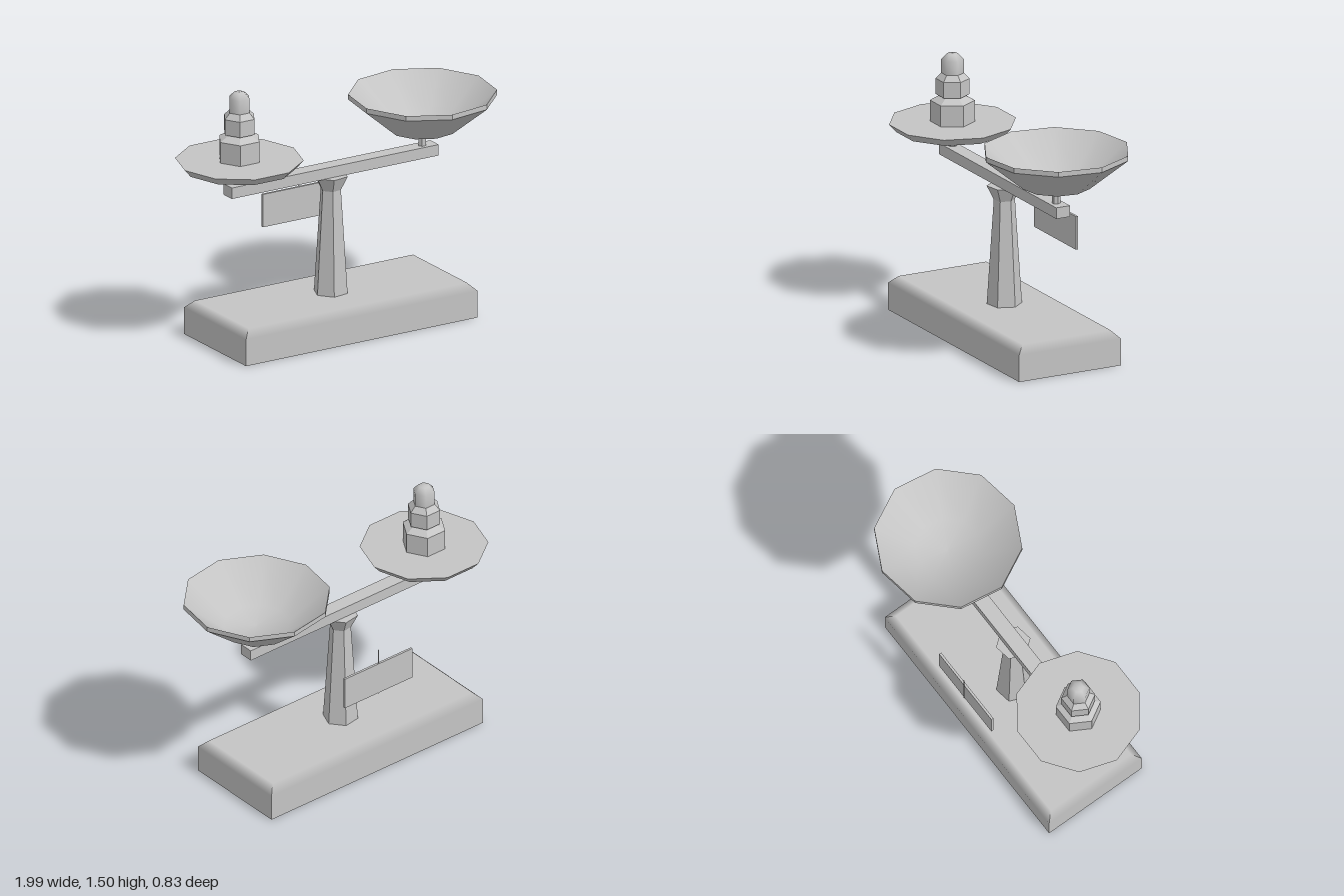
import * as THREE from 'three';

const grey = new THREE.MeshStandardMaterial({ color: 0xc4c4c4, side: THREE.DoubleSide });
grey.name = 'grey';

function add(group, name, geometry, x = 0, y = 0, z = 0) {
  const mesh = new THREE.Mesh(geometry, grey);
  mesh.name = name;
  mesh.position.set(x, y, z);
  group.add(mesh);
  return mesh;
}

// Turned solid from a profile of [radius, height], first corner at the given angle from +x
function turned(profile, sides, degrees = 0, flat = true) {
  const points = profile.map(([r, y]) => new THREE.Vector2(r, y));
  const start = THREE.MathUtils.degToRad(90 - degrees);
  const geometry = new THREE.LatheGeometry(points, sides, start, Math.PI * 2);
  if (!flat) return geometry;
  const faceted = geometry.toNonIndexed();
  faceted.computeVertexNormals();
  return faceted;
}

// Box whose upper edges are bevelled, with the bevel shaded as a round edge
function bevelledBlock(hx, height, hz, bevel) {
  const positions = [], normals = [];
  const quad = (corners, ns) => [0, 1, 2, 0, 2, 3].forEach(i => {
    positions.push(...corners[i]);
    normals.push(...ns[i]);
  });
  const ring = (x, y, z) => [[-x, y, z], [x, y, z], [x, y, -z], [-x, y, -z]];
  const low = ring(hx, 0, hz);
  const mid = ring(hx, height - bevel, hz);
  const top = ring(hx - bevel, height, hz - bevel);
  const up = [0, 1, 0], down = [0, -1, 0];
  const sides = [[0, 0, 1], [1, 0, 0], [0, 0, -1], [-1, 0, 0]];
  sides.forEach((n, i) => {
    const j = (i + 1) % 4;
    quad([low[i], low[j], mid[j], mid[i]], [n, n, n, n]);
    quad([mid[i], mid[j], top[j], top[i]], [n, n, up, up]);
  });
  quad(top, [up, up, up, up]);
  quad([...low].reverse(), [down, down, down, down]);
  const geometry = new THREE.BufferGeometry();
  geometry.setAttribute('position', new THREE.Float32BufferAttribute(positions, 3));
  geometry.setAttribute('normal', new THREE.Float32BufferAttribute(normals, 3));
  return geometry;
}

export function createModel() {
  const model = new THREE.Group();
  model.name = 'balanceScale';
  const centre = -0.03, plateX = -0.638, bowlX = 0.58;

  // Base, post and beam
  add(model, 'base', bevelledBlock(0.77, 0.203, 0.325, 0.045), centre);
  add(model, 'post', turned([[0, 0.2], [0.1, 0.2], [0.06, 0.815], [0.1, 0.897], [0, 0.897]], 6, -9), centre);
  add(model, 'beam', new THREE.BoxGeometry(1.375, 0.065, 0.088), -0.028, 0.928, 0);

  // Pins carrying the two pans
  for (const [name, x] of [['platePin', plateX], ['bowlPin', 0.577]]) {
    add(model, name, turned([[0, 0.95], [0.024, 0.95], [0.024, 1.065], [0, 1.065]], 6), x);
  }

  // Flat pan
  add(model, 'weightPlate', turned([[0, 1.06], [0.323, 1.06], [0.362, 1.105], [0, 1.105]], 10), plateX);

  // Deep pan
  const bowl = new THREE.Group();
  bowl.name = 'bowl';
  bowl.position.x = bowlX;
  model.add(bowl);
  add(bowl, 'bowlFoot', turned([[0, 1.06], [0.195, 1.06]], 10, -9));
  add(bowl, 'bowlWall', turned([[0.195, 1.06], [0.42, 1.245]], 10, -9, false));
  add(bowl, 'bowlRim', turned([[0.42, 1.245], [0.42, 1.275]], 10, -9));
  add(bowl, 'bowlInside', turned([[0.42, 1.275], [0.19, 1.085], [0, 1.075]], 10, -9, false));

  // Stacked weights
  const weights = new THREE.Group();
  weights.name = 'weights';
  weights.position.x = plateX;
  model.add(weights);
  add(weights, 'largeWeight', turned([[0, 1.105], [0.127, 1.105], [0.127, 1.228], [0.064, 1.263], [0, 1.263]], 6));
  add(weights, 'mediumWeight', turned([[0, 1.265], [0.096, 1.265], [0.096, 1.357], [0.064, 1.39], [0, 1.39]], 6));
  add(weights, 'smallWeight', turned([[0.064, 1.39], [0.064, 1.47], [0.032, 1.503], [0, 1.504]], 6, 0, false));

  // Dial board and its needle, behind the post
  add(model, 'dialBoard', new THREE.BoxGeometry(0.49, 0.195, 0.014), centre, 0.633, -0.33);
  add(model, 'dialNeedle', new THREE.PlaneGeometry(0.01, 0.295).rotateY(Math.PI), -0.025, 0.683, -0.341);

  return model;
}
